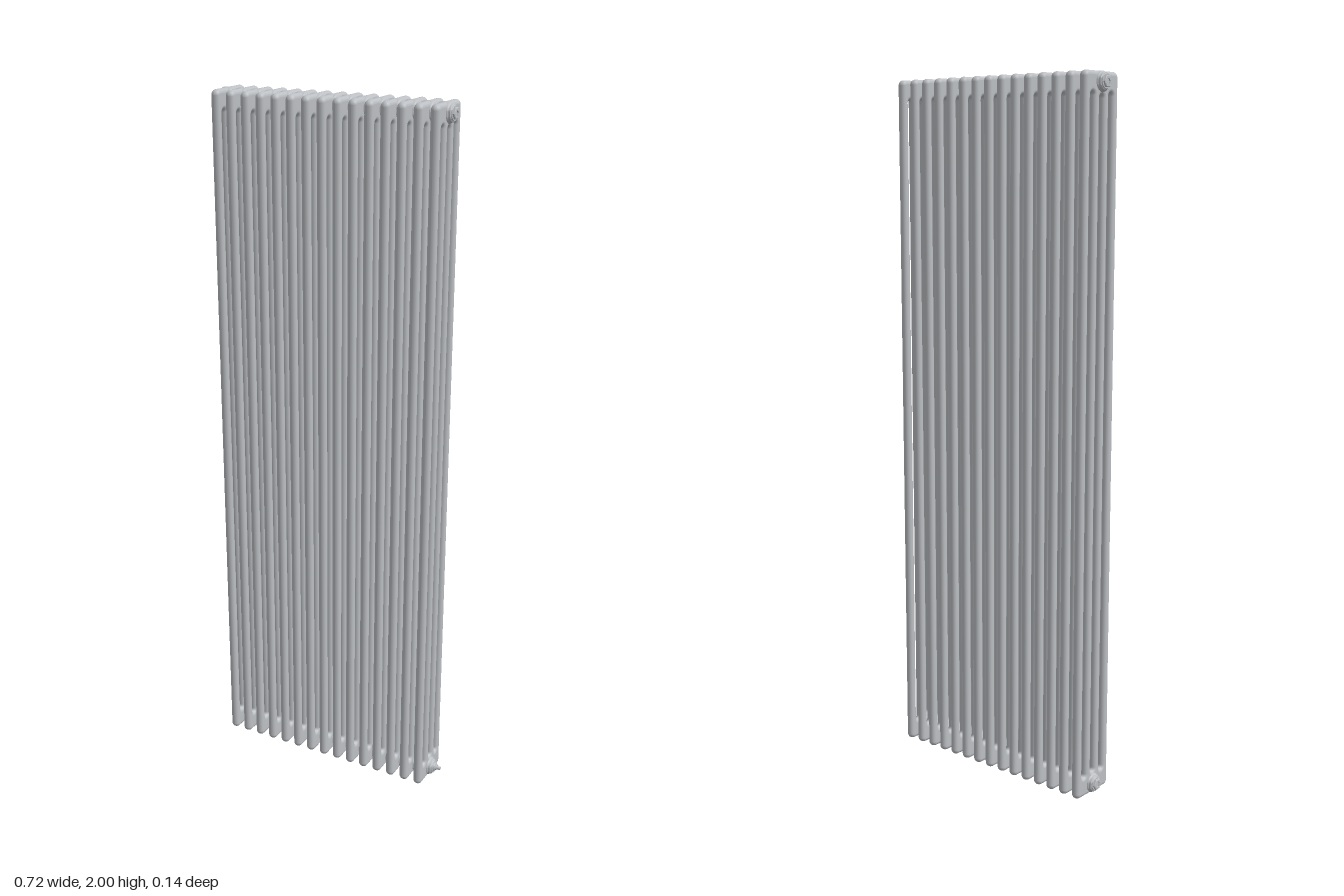
import * as THREE from 'three';
import { mergeVertices, toCreasedNormals } from 'three/addons/utils/BufferGeometryUtils.js';

const SECTIONS = 15, PITCH = 0.0461, FIRST_X = -0.331;
const LOW = 0.03, HIGH = 1.973; // heights of the two hub lines

// Stadium-shaped slot between two columns (before the round bevel narrows it)
function slot(cz, bottom, top, r) {
  const p = new THREE.Path();
  p.absarc(cz, top - r, r, 0, Math.PI, false);
  p.absarc(cz, bottom + r, r, Math.PI, Math.PI * 2, false);
  p.closePath();
  return p;
}

// Four round columns joined by heads: a thin core outline with a deep round bevel
function sectionGeometry() {
  const b = 0.011, w = 0.0615, y0 = b, y1 = 2 - b, c = 0.004;
  const s = new THREE.Shape();
  s.moveTo(-w + c, y0);
  s.lineTo(w - c, y0);
  s.absarc(w - c, y0 + c, c, -Math.PI / 2, 0, false);
  s.absarc(w - c, y1 - c, c, 0, Math.PI / 2, false);
  s.absarc(-w + c, y1 - c, c, Math.PI / 2, Math.PI, false);
  s.absarc(-w + c, y0 + c, c, Math.PI, Math.PI * 1.5, false);
  s.holes.push(slot(0, 0.052, 1.951, 0.019));
  for (const z of [-0.04, 0.04]) s.holes.push(slot(z, 0.046, 1.957, 0.019));
  let g = new THREE.ExtrudeGeometry(s, {
    depth: 0.001, bevelThickness: 0.012, bevelSize: b, bevelSegments: 5, curveSegments: 6
  });
  g.translate(0, 0, -0.0005);
  g.rotateY(Math.PI / 2);
  g.deleteAttribute('uv');
  g.deleteAttribute('normal');
  g = mergeVertices(g, 1e-5);
  g.computeVertexNormals();
  return g;
}

// Turned part around the x axis from [x, radius] pairs running towards +x
function turned(pairs, sides = 24) {
  const g = new THREE.LatheGeometry(pairs.map(([x, r]) => new THREE.Vector2(r, x)), sides);
  g.rotateZ(-Math.PI / 2);
  return toCreasedNormals(g, 0.6);
}

export function createModel() {
  const model = new THREE.Group();
  model.name = 'radiator';
  const grey = new THREE.MeshStandardMaterial({ color: 0xbcbfc3 });
  grey.name = 'grey enamel';

  function add(name, geometry, x, y, parent = model) {
    const m = new THREE.Mesh(geometry, grey);
    m.name = name;
    m.position.set(x, y, 0);
    parent.add(m);
    return m;
  }

  // Hub of each section, with a fillet by the head and a rim at the joint
  const h = PITCH / 2;
  const half = [[0.012, 0.0275], [0.0145, 0.0265], [0.0165, 0.0238], [0.0185, 0.0232],
    [0.0215, 0.0232], [h, 0.0215]];
  const mirrored = half.map(([x, r]) => [-x, r]).reverse();
  const hub = turned([[-h, 0], ...mirrored, ...half, [h, 0]]);
  const body = sectionGeometry();

  for (let i = 0; i < SECTIONS; i++) {
    const section = new THREE.Group();
    section.name = 'section' + (i + 1);
    section.position.x = FIRST_X + i * PITCH;
    model.add(section);
    add('columns', body, 0, 0, section);
    add('lowerHub', hub, 0, LOW, section);
    add('upperHub', hub, 0, HIGH, section);
  }

  // End plugs: a round flange and a six-sided nut
  const leftEnd = FIRST_X - h, rightEnd = FIRST_X + (SECTIONS - 1) * PITCH + h;
  const flange = turned([[-0.001, 0], [-0.001, 0.021], [0.003, 0.019], [0.003, 0]]);
  const nut = turned([[0, 0], [0, 0.0175], [0.007, 0.0165], [0.0085, 0.014], [0.0085, 0.008],
    [0.005, 0.008], [0.005, 0]], 6);
  for (const y of [LOW, HIGH]) {
    add('leftFlange', flange, leftEnd, y).rotation.y = Math.PI;
    add('leftPlug', nut, leftEnd, y).rotation.y = Math.PI;
    add('rightFlange', flange, rightEnd, y);
  }
  add('rightPlug', nut, rightEnd, HIGH);

  // Stepped bleed valve with a small pin
  const valve = turned([[0, 0], [0, 0.019], [0.005, 0.017], [0.005, 0.014], [0.009, 0.012],
    [0.009, 0.009], [0.014, 0.008], [0.014, 0.005], [0.0235, 0.005], [0.0245, 0.004], [0.0245, 0]], 16);
  add('bleedValve', valve, rightEnd, LOW);

  return model;
}
